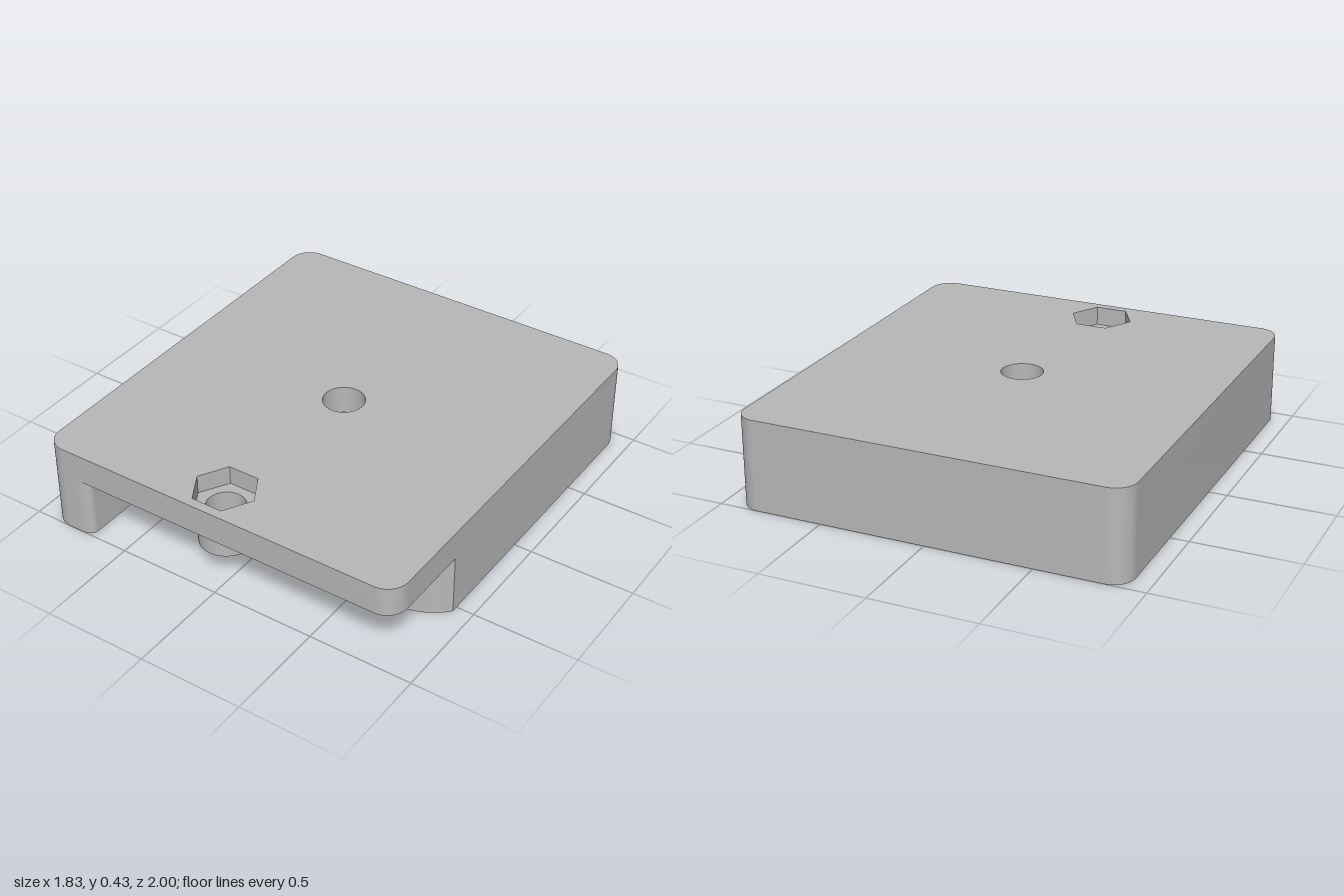
import * as THREE from 'three';
import { toCreasedNormals } from 'three/addons/utils/BufferGeometryUtils.js';

const W = 0.915, D = 1, R = 0.1;            // half width, half depth, corner radius
const FLOOR = 0.29, TOP = 0.43, NUT = 0.34; // underside, top and nut-seat heights
const BOSS = { x: -0.055, z: 0.823 };

export function createModel() {
  const group = new THREE.Group();
  const grey = new THREE.MeshStandardMaterial({ color: 0xb8b8b8 });
  grey.name = 'grey';

  const add = (name, geometry) => {
    const mesh = new THREE.Mesh(geometry, grey);
    mesh.name = name;
    group.add(mesh);
  };

  // Extrudes a plan outline drawn in (x, z) between two heights
  const slab = (name, shape, y0, y1) => {
    const g = new THREE.ExtrudeGeometry(shape, { depth: y1 - y0, bevelEnabled: false, curveSegments: 24 });
    g.rotateX(Math.PI / 2).translate(0, y1, 0);
    add(name, toCreasedNormals(g, 0.5));
  };

  const circle = (x, z, r) => new THREE.Path().absarc(x, z, r, 0, Math.PI * 2, false);

  const plateShape = (...holes) => {
    const s = new THREE.Shape();
    s.absarc(W - R, D - R, R, 0, Math.PI / 2);
    s.absarc(R - W, D - R, R, Math.PI / 2, Math.PI);
    s.absarc(R - W, R - D, R, Math.PI, Math.PI * 1.5);
    s.absarc(W - R, R - D, R, Math.PI * 1.5, Math.PI * 2);
    s.closePath();
    s.holes.push(...holes);
    return s;
  };

  // Top plate: hexagonal nut pocket above, round bolt hole below
  const hexagon = new THREE.Path();
  hexagon.setFromPoints(Array.from({ length: 7 }, (_, i) => new THREE.Vector2(
    BOSS.x + 0.151 * Math.cos(i * Math.PI / 3), BOSS.z + 0.153 * Math.sin(i * Math.PI / 3))));
  slab('topPlateUpper', plateShape(circle(0, 0, 0.098), hexagon), NUT, TOP);
  slab('topPlateLower', plateShape(circle(0, 0, 0.098), circle(BOSS.x, BOSS.z, 0.09)), FLOOR, NUT);

  // Hollow boss under the nut pocket
  const ring = new THREE.Shape();
  ring.absarc(BOSS.x, BOSS.z, 0.127, 0, Math.PI * 2, false);
  ring.holes.push(circle(BOSS.x, BOSS.z, 0.09));
  slab('boltBoss', ring, 0.16, FLOOR);

  // U-shaped skirt: short rounded arm on the left, full-length arm on the right
  const inner = 0.685, backTop = -0.917, backBottom = -0.75;
  const skirt = new THREE.Shape();
  skirt.moveTo(W, 0.53);
  skirt.lineTo(W, R - D);
  skirt.absarc(W - R, R - D, R, 0, -Math.PI / 2, true);
  skirt.absarc(R - W, R - D, R, -Math.PI / 2, -Math.PI, true);
  skirt.absarc(R - W, D - R, R, Math.PI, Math.PI / 2, true);
  skirt.lineTo(-0.75, D);
  skirt.quadraticCurveTo(-inner, D, -inner, 0.955);
  skirt.lineTo(-inner, backTop);
  skirt.lineTo(inner, backTop);
  skirt.lineTo(inner, 0.635);
  skirt.absarc(inner, 0.331, 0.304, Math.PI / 2, Math.atan2(0.199, 0.23), true);
  skirt.closePath();
  slab('skirt', skirt, 0, FLOOR);

  // Sloping inner face of the back wall
  const wedge = new THREE.Shape([
    new THREE.Vector2(-backTop, 0),
    new THREE.Vector2(-backTop, FLOOR),
    new THREE.Vector2(-backBottom, 0),
  ]);
  const wedgeGeometry = new THREE.ExtrudeGeometry(wedge, { depth: inner * 2, bevelEnabled: false });
  wedgeGeometry.rotateY(Math.PI / 2).translate(-inner, 0, 0);
  add('backWallSlope', wedgeGeometry);

  return group;
}
